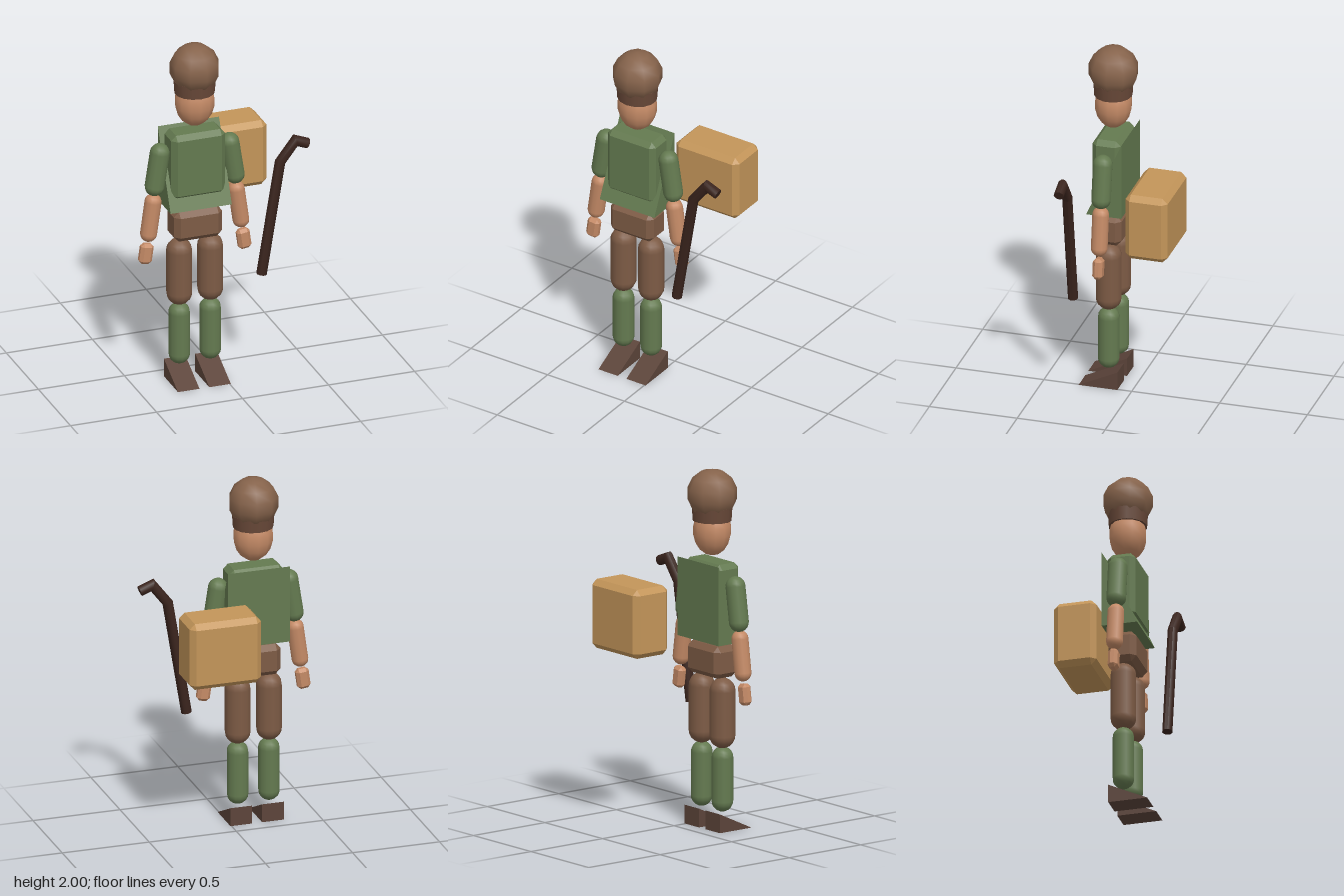
import * as THREE from 'three';
import { toCreasedNormals } from 'three/addons/utils/BufferGeometryUtils.js';
import { ConvexGeometry } from 'three/addons/geometries/ConvexGeometry.js';

const CX = -0.147, CZ = 0.148; // axis of the figure
const mat = (color) => new THREE.MeshStandardMaterial({ color });
const green = mat(0x647a50), hatBrown = mat(0x86634b), bandBrown = mat(0x684838), trouser = mat(0x7d5b45);
const skin = mat(0xc48a66), shoe = mat(0x5c443a), tan = mat(0xc39559), darkWood = mat(0x3a241d);

// Box with flat chamfers on every edge and corner
function chamferBox(w, h, d, c) {
  const pts = [];
  for (const x of [-w / 2, w / 2]) for (const y of [-h / 2, h / 2]) for (const z of [-d / 2, d / 2]) {
    const [ix, iy, iz] = [x, y, z].map((v) => v - Math.sign(v) * c);
    pts.push(new THREE.Vector3(x, iy, iz), new THREE.Vector3(ix, y, iz), new THREE.Vector3(ix, iy, z));
  }
  return new ConvexGeometry(pts);
}

// Wedge: tall at the back, sloping down to the front
function wedge(w, h, zBack, zFront) {
  const s = new THREE.Shape([[zBack, 0], [zFront, 0], [zBack, h]].map((p) => new THREE.Vector2(...p)));
  return new THREE.ExtrudeGeometry(s, { depth: w, bevelEnabled: false }).rotateY(-Math.PI / 2).translate(w / 2, 0, 0);
}

// Bent stick with mitred joints, listed from the hook down
function stick(path, r) {
  const n = path.length - 1;
  const p = path.map((a) => new THREE.Vector2(...a));
  const dir = (i) => p[i].clone().sub(p[i + 1]).normalize();
  const geo = new THREE.CylinderGeometry(r, r, 1, 10, n);
  const pos = geo.attributes.position;
  for (let k = 0; k < pos.count; k++) {
    const i = Math.round((0.5 - pos.getY(k)) * n);
    const a = dir(Math.max(i - 1, 0)), b = dir(Math.min(i, n - 1));
    const t = a.clone().add(b).normalize();
    const off = pos.getX(k) / t.dot(a);
    pos.setXY(k, p[i].x + t.y * off, p[i].y - t.x * off);
  }
  geo.computeVertexNormals();
  return toCreasedNormals(geo, 0.7);
}

export function createModel() {
  const model = new THREE.Group();
  const add = (name, geo, material, x, y, z, tilt = 0) => {
    const m = new THREE.Mesh(geo, material);
    m.name = name;
    m.position.set(x, y, z);
    m.rotation.z = tilt;
    model.add(m);
    return m;
  };
  // Capsule between two end-cap centres, offsets from the body axis
  const limb = (name, material, r, x1, y1, x2, y2) => {
    const len = Math.hypot(x1 - x2, y1 - y2);
    add(name, new THREE.CapsuleGeometry(r, len, 5, 12), material,
      CX + (x1 + x2) / 2, (y1 + y2) / 2, CZ, Math.atan2(x2 - x1, y1 - y2));
  };

  // Head and cap
  add('head', new THREE.SphereGeometry(1, 12, 9), skin, CX, 1.66, CZ).scale.set(0.112, 0.142, 0.103);
  add('capBand', new THREE.CylinderGeometry(0.117, 0.112, 0.075, 14), bandBrown, CX, 1.752, CZ).scale.z = 0.94;
  add('cap', new THREE.SphereGeometry(0.141, 9, 7).rotateY(Math.PI), hatBrown, CX, 1.859, CZ);

  // Torso and hips
  add('jacket', wedge(0.356, 0.44, 0.05, 0.25), green, CX, 1.053, 0);
  add('chest', chamferBox(0.312, 0.385, 0.16, 0.028), green, CX, 1.3, CZ);
  add('hips', chamferBox(0.28, 0.178, 0.16, 0.03), trouser, CX, 0.942, CZ);

  // Arms and legs on both sides
  for (const [side, s] of [['left', 1], ['right', -1]]) {
    limb(side + 'UpperArm', green, 0.055, s * 0.203, 1.38, s * 0.233, 1.185);
    limb(side + 'Forearm', skin, 0.047, s * 0.242, 1.093, s * 0.268, 0.907);
    add(side + 'Hand', chamferBox(0.074, 0.118, 0.055, 0.017), skin, CX + s * 0.284, 0.79, CZ, s * 0.14);
    limb(side + 'Thigh', trouser, 0.072, s * 0.09, 0.777, s * 0.09, 0.528);
    limb(side + 'Shin', green, 0.06, s * 0.09, 0.405, s * 0.09, 0.162);
    add(side + 'Shoe', wedge(0.125, 0.105, 0.08, 0.3), shoe, CX + s * 0.091, 0, 0);
  }

  // Pack behind and walking stick in front
  add('pack', chamferBox(0.41, 0.385, 0.24, 0.03), tan, 0.155, 1.168, -0.185);
  add('walkingStick', stick([[0.462, 1.362], [0.391, 1.39], [0.302, 1.275], [0.194, 0.62]], 0.029), darkWood, 0, 0, 0.275);

  return model;
}
